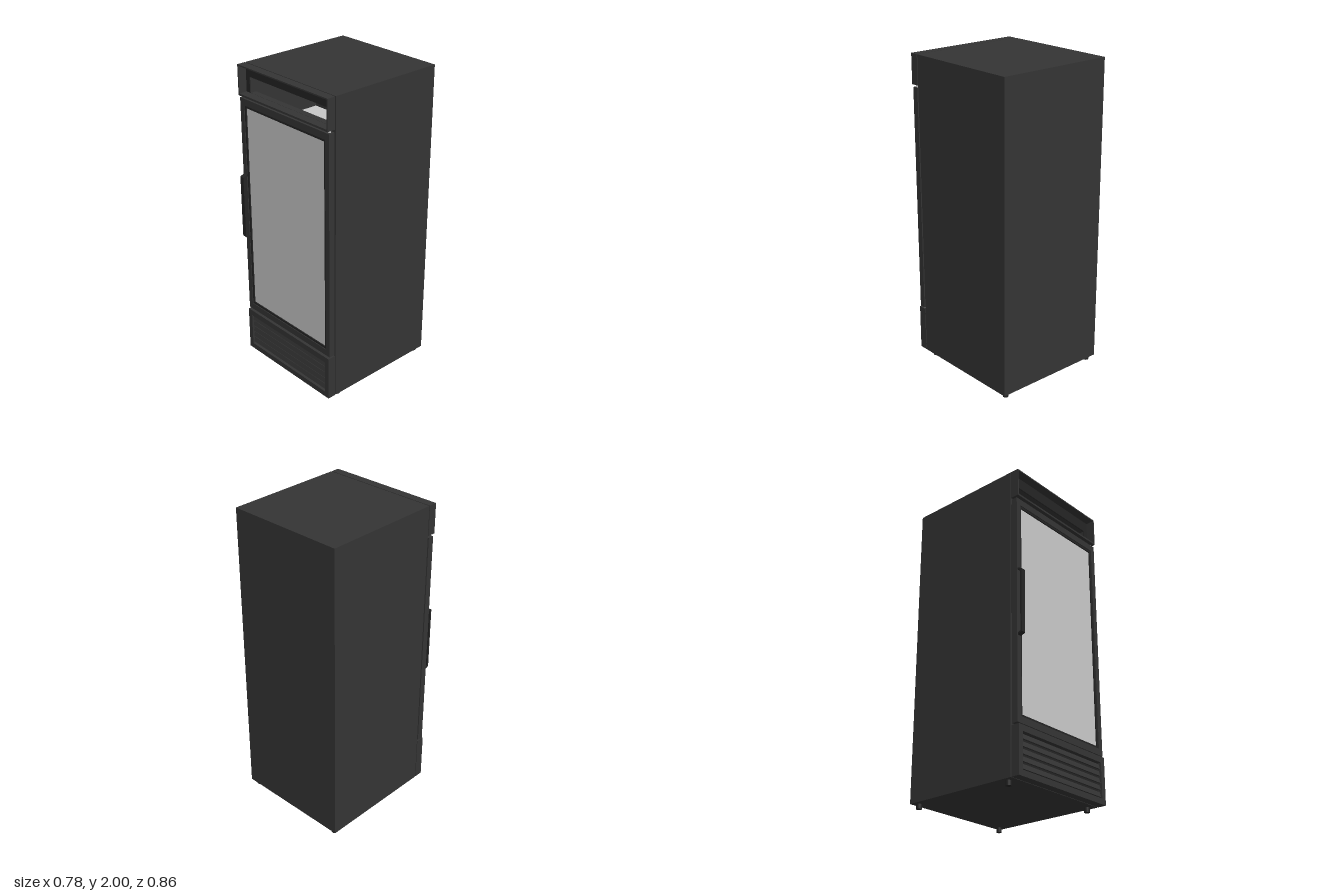
import * as THREE from 'three';

const black = new THREE.MeshStandardMaterial({ color: 0x343434 });
const trim = new THREE.MeshStandardMaterial({ color: 0x242424 });
const glass = new THREE.MeshStandardMaterial({ color: 0xc8c8c8 });
black.name = 'charcoal';
trim.name = 'dark trim';
glass.name = 'pale glass';

export function createModel() {
  const model = new THREE.Group();
  model.name = 'displayFridge';

  const add = (name, geometry, material, parent = model) => {
    const mesh = new THREE.Mesh(geometry, material);
    mesh.name = name;
    parent.add(mesh);
    return mesh;
  };

  // Box given by its limits on each axis
  const box = (name, x0, x1, y0, y1, z0, z1, material = black, parent = model) => {
    const mesh = add(name, new THREE.BoxGeometry(x1 - x0, y1 - y0, z1 - z0), material, parent);
    mesh.position.set((x0 + x1) / 2, (y0 + y1) / 2, (z0 + z1) / 2);
    return mesh;
  };

  // Upright rectangular frame with a rectangular hole
  const frame = (name, w, y0, y1, hw, h0, h1, z0, z1, material = black, parent = model) => {
    const rect = (Type, a, b, c) => {
      const p = new Type();
      p.moveTo(-a, b).lineTo(a, b).lineTo(a, c).lineTo(-a, c).closePath();
      return p;
    };
    const shape = rect(THREE.Shape, w, y0, y1);
    shape.holes.push(rect(THREE.Path, hw, h0, h1));
    const g = new THREE.ExtrudeGeometry(shape, { depth: z1 - z0, bevelEnabled: false });
    g.translate(0, 0, z0);
    return add(name, g, material, parent);
  };

  // Cabinet shell with an opening behind the header
  const cabinet = new THREE.Group();
  cabinet.name = 'cabinet';
  model.add(cabinet);
  for (const s of [-1, 1]) {
    const wall = box('sideWall', -0.02, 0.02, 0.03, 2, -0.43, 0.35, black, cabinet);
    wall.position.x = s * 0.37;
  }
  box('backWall', -0.35, 0.35, 0.03, 2, -0.43, -0.39, black, cabinet);
  box('roof', -0.35, 0.35, 1.96, 2, -0.39, 0.35, black, cabinet);
  box('floor', -0.35, 0.35, 0.03, 0.07, -0.39, 0.35, black, cabinet);
  box('frontWall', -0.35, 0.35, 0.07, 1.82, 0.31, 0.35, black, cabinet);
  box('frontBeam', -0.35, 0.35, 1.92, 1.96, 0.31, 0.35, black, cabinet);
  box('rearPartition', -0.35, 0.35, 1.6, 1.96, -0.18, -0.16, black, cabinet);
  box('innerShelf', -0.35, 0.35, 1.6, 1.61, -0.16, 0.31, glass, cabinet);

  // Open header box and the thin seams joining front parts to the cabinet
  frame('header', 0.39, 1.81, 2, 0.382, 1.822, 1.992, 0.355, 0.41);
  frame('headerSeam', 0.384, 1.815, 1.995, 0.35, 1.82, 1.92, 0.35, 0.355, trim);
  box('baseSeam', -0.384, 0.384, 0.036, 0.32, 0.35, 0.355, trim);

  // Door: gasket, frame, inner trim, pane
  const door = new THREE.Group();
  door.name = 'door';
  model.add(door);
  frame('gasket', 0.38, 0.36, 1.77, 0.34, 0.4, 1.73, 0.35, 0.36, trim, door);
  frame('doorFrame', 0.39, 0.335, 1.795, 0.357, 0.376, 1.753, 0.36, 0.4, black, door);
  frame('paneTrim', 0.357, 0.376, 1.753, 0.344, 0.39, 1.738, 0.365, 0.395, trim, door);
  box('pane', -0.344, 0.344, 0.39, 1.738, 0.38, 0.388, glass, door);

  // Hinge pins above and below the door on its left
  for (const y of [0.33, 1.8025]) {
    const pin = add('hingePin', new THREE.CylinderGeometry(0.008, 0.008, 0.015, 12), glass);
    pin.position.set(0.372, y, 0.38);
  }

  // Pull handle: a flat strap with slanted ends
  const strap = new THREE.Shape();
  strap.moveTo(0.398, 0.865).lineTo(0.43, 0.88).lineTo(0.43, 1.29).lineTo(0.398, 1.305);
  strap.lineTo(0.398, 1.292).lineTo(0.419, 1.281).lineTo(0.419, 0.889).lineTo(0.398, 0.878).closePath();
  const strapGeometry = new THREE.ExtrudeGeometry(strap, { depth: 0.03, bevelEnabled: false });
  strapGeometry.rotateY(-Math.PI / 2);
  add('handle', strapGeometry, trim, door).position.x = -0.355;

  // Base panel with slatted grille
  const base = new THREE.Group();
  base.name = 'basePanel';
  model.add(base);
  frame('baseFrame', 0.39, 0.03, 0.325, 0.357, 0.066, 0.287, 0.355, 0.41, black, base);
  box('grilleBack', -0.357, 0.357, 0.066, 0.287, 0.357, 0.38, trim, base);
  for (let i = 0; i < 5; i++) {
    const y = 0.091 + i * 0.043;
    const slat = box('grilleSlat', -0.357, 0.357, y - 0.016, y + 0.016, 0.389, 0.397, black, base);
    slat.rotation.x = -0.25;
  }

  // Feet
  for (const x of [-0.35, 0.35]) {
    for (const z of [-0.395, 0.3]) {
      const foot = add('foot', new THREE.CylinderGeometry(0.017, 0.017, 0.03, 16), trim);
      foot.position.set(x, 0.015, z);
    }
  }
  return model;
}
